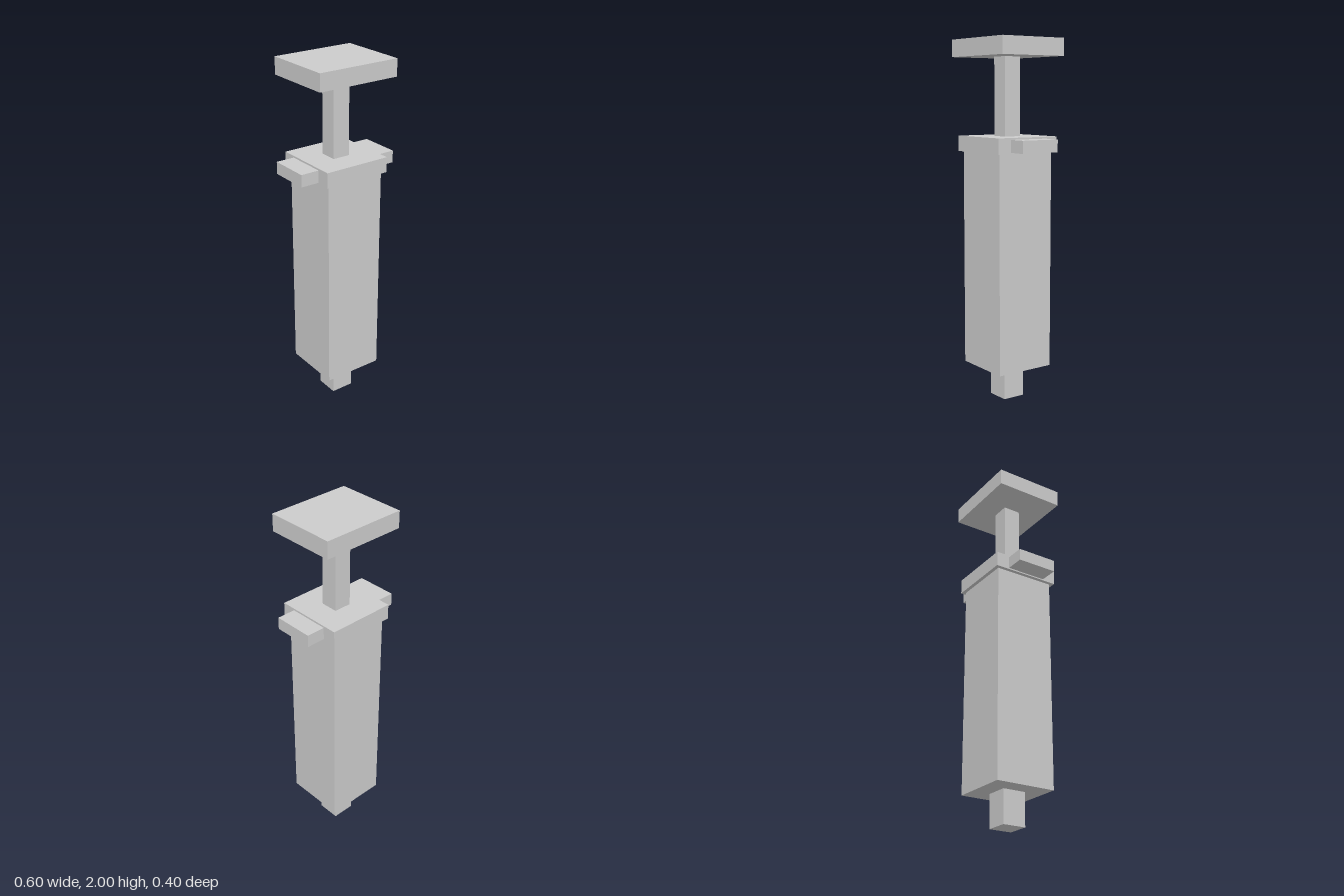
import * as THREE from 'three';

const material = new THREE.MeshStandardMaterial({ color: 0xcccccc, flatShading: true });

// Box given by its width, depth and bottom/top heights
function block(name, width, depth, bottom, top, x = 0) {
  const mesh = new THREE.Mesh(new THREE.BoxGeometry(width, top - bottom, depth), material);
  mesh.name = name;
  mesh.position.set(x, (bottom + top) / 2, 0);
  return mesh;
}

export function createModel() {
  const group = new THREE.Group();
  group.name = 'syringe';

  group.add(
    block('nozzle', 0.132, 0.132, 0, 0.184),
    block('barrel', 0.345, 0.345, 0.184, 1.391),
    block('collar', 0.387, 0.387, 1.391, 1.476),
    block('plungerRod', 0.1, 0.1, 1.476, 1.905),
    block('thumbPlate', 0.48, 0.4, 1.905, 2)
  );

  // Finger tabs on both sides of the collar
  for (const side of [1, -1]) {
    const inner = 0.193, outer = 0.3;
    group.add(block(side > 0 ? 'leftFingerTab' : 'rightFingerTab',
      outer - inner, 0.23, 1.398, 1.466, side * (inner + outer) / 2));
  }
  return group;
}
